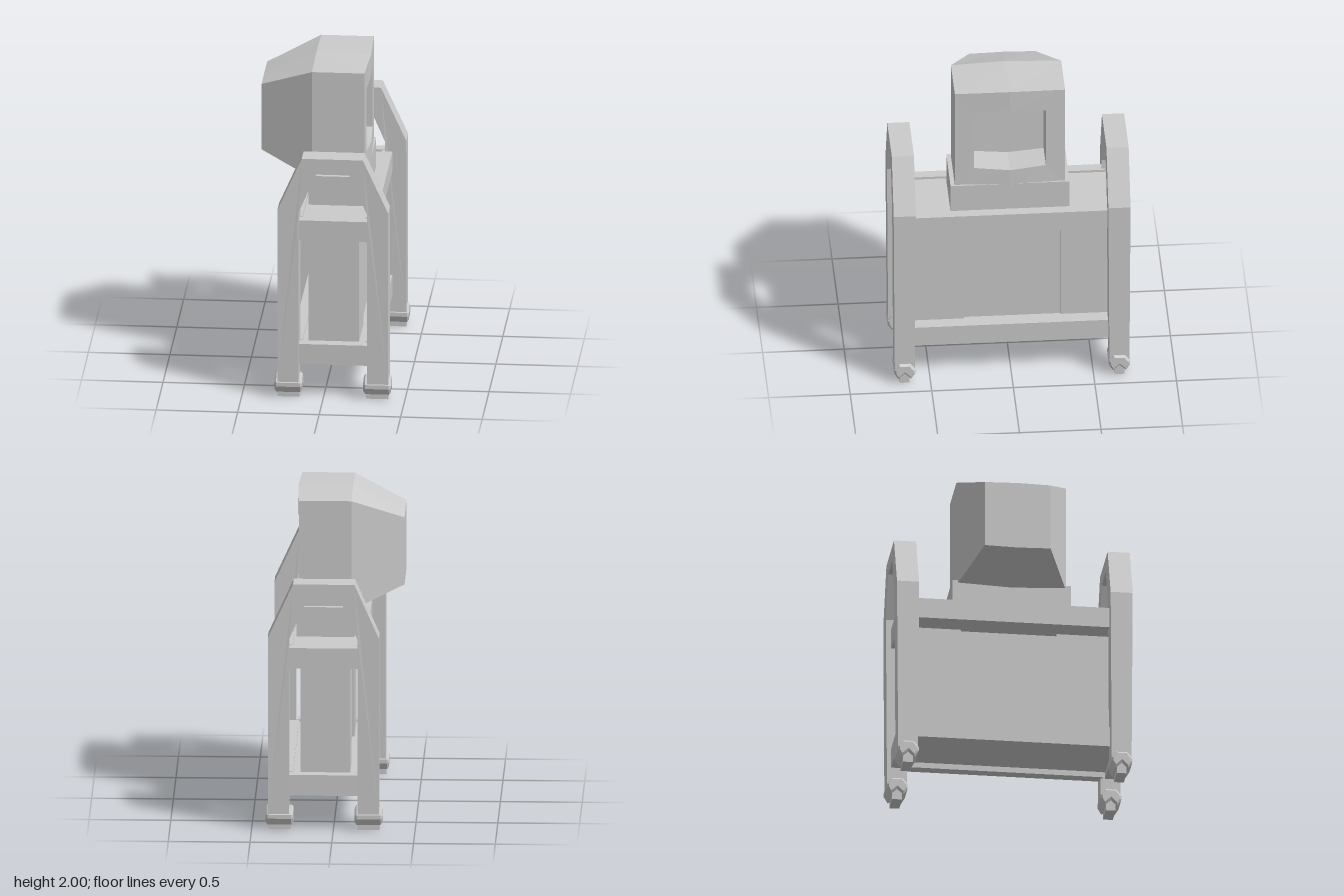
import * as THREE from 'three';

const material = new THREE.MeshStandardMaterial({ color: 0xcccccc, flatShading: true });

function addMesh(parent, name, geometry) {
  const mesh = new THREE.Mesh(geometry, material);
  mesh.name = name;
  parent.add(mesh);
  return mesh;
}

// Box given by its limits on each axis
function addBox(parent, name, [x0, x1], [y0, y1], [z0, z1]) {
  const mesh = addMesh(parent, name, new THREE.BoxGeometry(x1 - x0, y1 - y0, z1 - z0));
  mesh.position.set((x0 + x1) / 2, (y0 + y1) / 2, (z0 + z1) / 2);
  return mesh;
}

function shapeOf(points) {
  return new THREE.Shape(points.map(([x, y]) => new THREE.Vector2(x, y)));
}

// Arched end frame: two legs joined by a chamfered top
function archGeometry() {
  const shape = shapeOf([
    [-0.28, 0.1], [-0.15, 0.1], [-0.15, 1.21], [-0.04, 1.465], [0.16, 1.465], [0.27, 1.21],
    [0.27, 0.1], [0.4, 0.1], [0.4, 1.22], [0.245, 1.56], [-0.13, 1.56], [-0.28, 1.22],
  ]);
  const geometry = new THREE.ExtrudeGeometry(shape, { depth: 0.136, bevelEnabled: false });
  geometry.translate(0, 0, -0.068);
  // The legs narrow slightly towards the feet
  const p = geometry.attributes.position;
  for (let i = 0; i < p.count; i++) if (p.getY(i) < 0.5) p.setZ(i, p.getZ(i) * 0.9);
  return geometry;
}

// Profile in z and y, run along x and centred
function alongX(points, length, bevel) {
  const geometry = new THREE.ExtrudeGeometry(shapeOf(points), {
    depth: length - 2 * bevel, bevelEnabled: bevel > 0, bevelSegments: 1,
    bevelThickness: bevel, bevelSize: bevel, bevelOffset: -bevel,
  });
  geometry.translate(0, 0, bevel - length / 2);
  return geometry.rotateY(Math.PI / 2);
}

// Six-cornered cross-section of the monitor, with raised middle points
function section(x, halfWidth, bottom, top, bulge, middleX = x) {
  return [
    [middleX, top + bulge, 0], [x, top, halfWidth], [x, bottom, halfWidth],
    [middleX, bottom - bulge, 0], [x, bottom, -halfWidth], [x, top, -halfWidth],
  ];
}

function loft(loops) {
  const n = loops[0].length, index = [];
  for (let l = 0; l < loops.length - 1; l++) {
    for (let i = 0; i < n; i++) {
      const j = (i + 1) % n, a = l * n, b = a + n;
      index.push(a + i, a + j, b + j, a + i, b + j, b + i);
    }
  }
  const last = (loops.length - 1) * n;
  for (let i = 1; i < n - 1; i++) {
    index.push(0, i + 1, i, last, last + i, last + i + 1);
  }
  const geometry = new THREE.BufferGeometry();
  geometry.setAttribute('position', new THREE.Float32BufferAttribute(loops.flat(2), 3));
  geometry.setIndex(index);
  const flat = geometry.toNonIndexed();
  flat.computeVertexNormals();
  return flat;
}

export function createModel() {
  const model = new THREE.Group();
  model.name = 'monitorCart';

  // End frames
  const arch = archGeometry();
  for (const side of [1, -1]) {
    addMesh(model, 'endFrame', arch).position.z = side * 0.658;
  }

  // Casters with a notched cover over a small pointed wheel block
  const cover = alongX([
    [-0.035, 0.14], [-0.065, 0.1], [-0.065, 0.075], [-0.04, 0.033],
    [0, 0.07], [0.04, 0.033], [0.065, 0.075], [0.065, 0.1], [0.035, 0.14],
  ], 0.17, 0.012);
  const wheel = alongX([[-0.03, 0], [0.03, 0], [0.03, 0.045], [0, 0.075], [-0.03, 0.045]], 0.135, 0);
  for (const x of [-0.215, 0.33]) {
    for (const z of [-0.658, 0.658]) {
      const caster = new THREE.Group();
      caster.name = 'caster';
      caster.position.set(x, 0, z);
      addMesh(caster, 'casterCover', cover);
      addMesh(caster, 'casterWheel', wheel);
      model.add(caster);
    }
  }

  // Two shelves: long rails, end bars and a recessed plate
  for (const [name, y] of [['lowerShelf', 0.215], ['upperShelf', 1.018]]) {
    const shelf = new THREE.Group();
    shelf.name = name;
    for (const x of [-0.2, 0.25]) {
      addBox(shelf, 'rail', [x, x + 0.065], [y, y + 0.13], [-0.61, 0.61]);
    }
    for (const z of [-0.658, 0.658]) {
      addBox(shelf, 'endBar', [-0.16, 0.28], [y, y + 0.13], [z - 0.035, z + 0.035]);
    }
    addBox(shelf, 'plate', [-0.14, 0.255], [y + 0.035, y + 0.115], [-0.64, 0.64]);
    model.add(shelf);
  }

  // Row of three cabinets on the lower shelf
  addBox(model, 'cabinet', [-0.1, 0.21], [0.33, 1.0], [0.28, 0.6]);
  addBox(model, 'cabinet', [-0.085, 0.195], [0.33, 0.992], [-0.31, 0.28]);
  addBox(model, 'cabinet', [-0.1, 0.205], [0.33, 0.995], [-0.6, -0.31]);

  // Monitor base and housing, with the screen set deep in the front
  addBox(model, 'monitorBase', [-0.12, 0.235], [1.13, 1.32], [-0.365, 0.365]);
  addMesh(model, 'monitor', loft([
    section(-0.42, 0.203, 1.425, 1.85, 0.005),
    section(-0.1, 0.338, 1.295, 1.985, 0.015),
    section(0.222, 0.338, 1.295, 1.985, 0.008, 0.236),
    section(0.225, 0.22, 1.44, 1.84, 0.02, 0.236),
    section(0.035, 0.22, 1.44, 1.84, 0.02),
  ]));

  return model;
}
